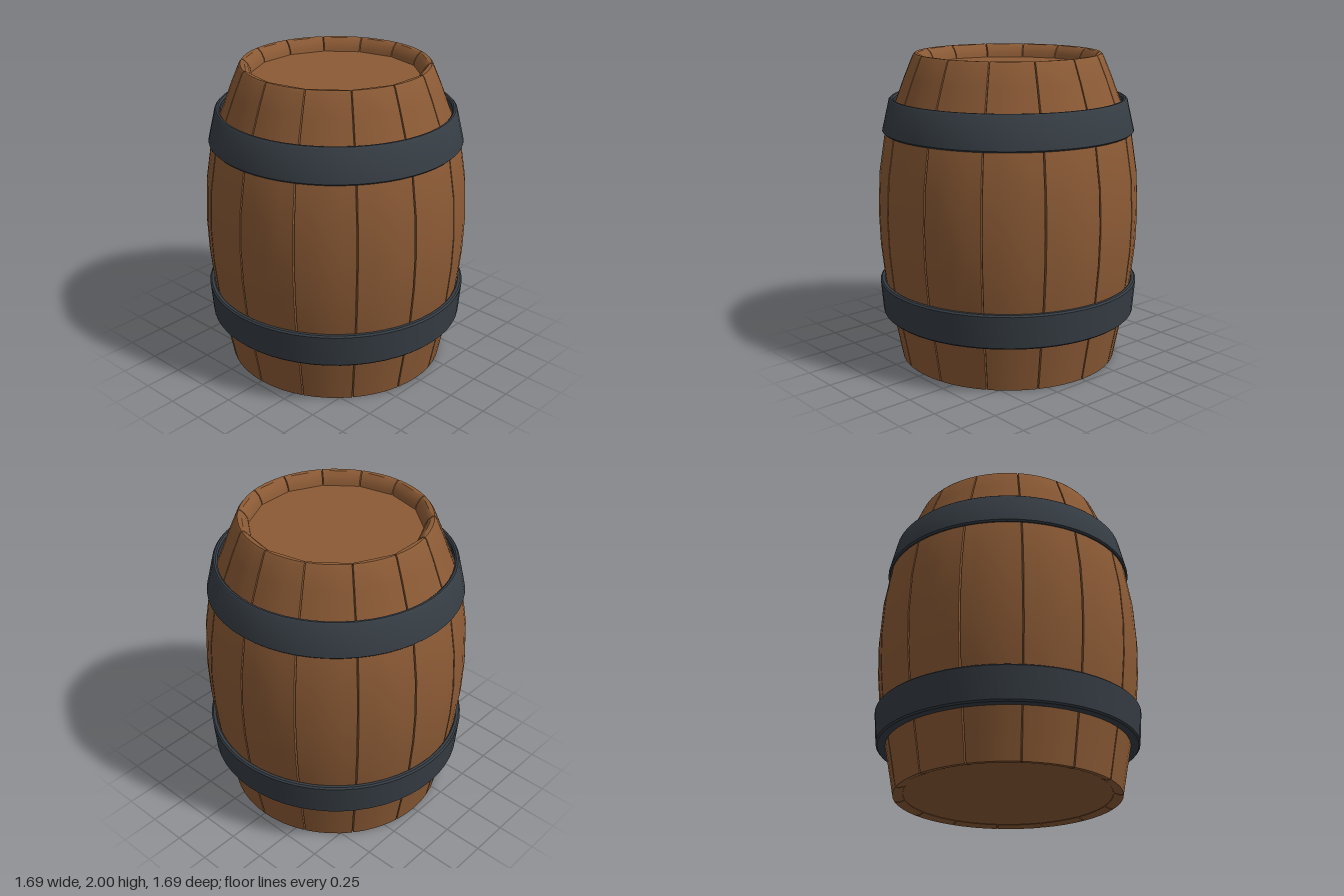
import * as THREE from 'three';
import { toCreasedNormals } from 'three/addons/utils/BufferGeometryUtils.js';

const STAVES = 14;
const STEP = (Math.PI * 2) / STAVES;

// Stave profile [radius, y]: bottom lip, bulging outside, rounded top lip.
const PROFILE = [
  [0.635, 0.04], [0.65, 0.012], [0.685, 0], [0.711, 0],
  [0.745, 0.18], [0.776, 0.34], [0.815, 0.55], [0.838, 0.78], [0.845, 1],
  [0.832, 1.25], [0.792, 1.5], [0.755, 1.61], [0.71, 1.72], [0.657, 1.86], [0.604, 1.985],
  [0.592, 2], [0.572, 1.998], [0.548, 1.975], [0.53, 1.94], [0.522, 1.89],
];
const LIP_START = 16;

// Profile pushed inwards along its normal, used for the floor of the seams
function insetProfile(depth) {
  return PROFILE.map(([r, y], i) => {
    const a = PROFILE[Math.max(i - 1, 0)];
    const b = PROFILE[Math.min(i + 1, PROFILE.length - 1)];
    const dr = b[0] - a[0], dy = b[1] - a[1], len = Math.hypot(dr, dy);
    return [r - (dy / len) * depth, y + (dr / len) * depth];
  });
}

// One stave: the profile swept over a small arc, sunk at both edges
function staveGeometry() {
  const columns = [0, 0.014, 0.25, 0.5, 0.75, 0.986, 1];
  const seam = insetProfile(0.014);
  const positions = [], index = [];
  const n = columns.length;
  PROFILE.forEach((point, i) => {
    columns.forEach((t, j) => {
      let [r, y] = t === 0 || t === 1 ? seam[i] : point;
      const angle = t * STEP;
      // the inner lip is straight across each stave
      if (i >= LIP_START) r *= Math.cos(STEP / 2) / Math.cos(angle - STEP / 2) + 0.012;
      positions.push(r * Math.cos(angle), Math.max(y, 0), r * Math.sin(angle));
      if (i && j) {
        const d = i * n + j, c = d - 1, b = d - n, a = b - 1;
        index.push(a, c, b, b, c, d);
      }
    });
  });
  const geometry = new THREE.BufferGeometry();
  geometry.setAttribute('position', new THREE.Float32BufferAttribute(positions, 3));
  geometry.setIndex(index);
  return toCreasedNormals(geometry, 0.65);
}

// Iron band with chamfered corners; corners run counter-clockwise from inner bottom
function hoopGeometry(innerBottom, outerBottom, outerTop, innerTop, y0, y1) {
  const c = 0.01;
  const points = [
    [innerBottom, y0], [outerBottom - c, y0], [outerBottom, y0 + c],
    [outerTop, y1 - c], [outerTop - c, y1], [innerTop + c, y1],
    [innerTop, y1 - c], [innerBottom, y0],
  ].map(([r, y]) => new THREE.Vector2(r, y));
  return toCreasedNormals(new THREE.LatheGeometry(points, 56), 0.6);
}

export function createModel() {
  const wood = new THREE.MeshStandardMaterial({ color: 0x8b5a35 });
  wood.name = 'wood';
  const iron = new THREE.MeshStandardMaterial({ color: 0x353c43 });
  iron.name = 'iron';

  const barrel = new THREE.Group();
  barrel.name = 'barrel';
  const add = (name, geometry, material, y = 0, parent = barrel) => {
    const mesh = new THREE.Mesh(geometry, material);
    mesh.name = name;
    mesh.position.y = y;
    parent.add(mesh);
    return mesh;
  };

  // Ring of staves, with a seam on each side and a stave centred at the front
  const staves = new THREE.Group();
  staves.name = 'staves';
  barrel.add(staves);
  const stave = staveGeometry();
  for (let i = 0; i < STAVES; i++) add('stave', stave, wood, 0, staves).rotation.y = i * STEP;

  // Recessed heads
  add('topHead', new THREE.CylinderGeometry(0.56, 0.56, 0.04, 56), wood, 1.895);
  add('bottomHead', new THREE.CylinderGeometry(0.665, 0.665, 0.04, 56), wood, 0.035);

  // Hoops
  add('upperHoop', hoopGeometry(0.765, 0.808, 0.762, 0.73, 1.503, 1.72), iron);
  add('lowerHoop', hoopGeometry(0.768, 0.83, 0.846, 0.808, 0.313, 0.535), iron);

  return barrel;
}
